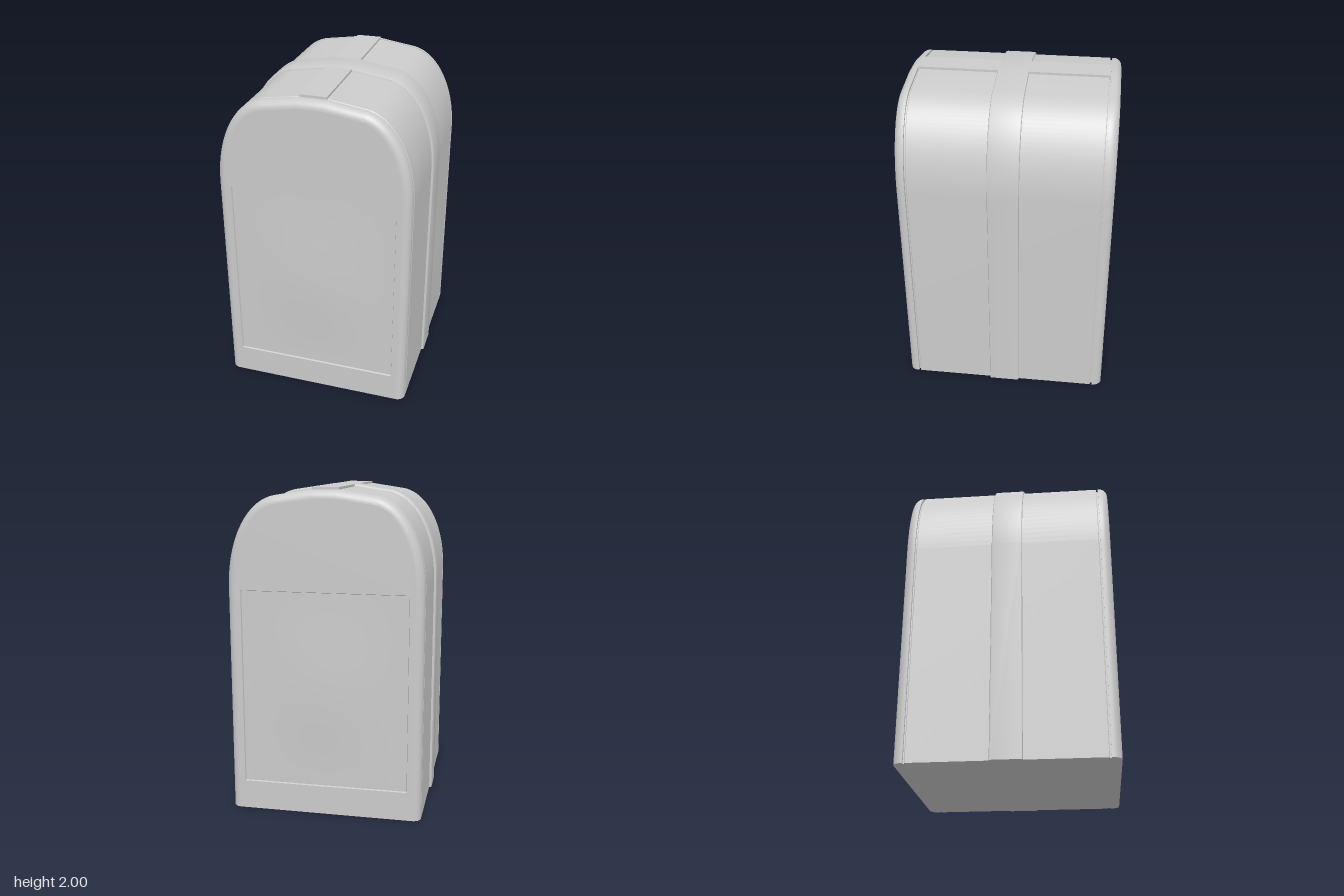
import * as THREE from 'three';
import { toCreasedNormals } from 'three/addons/utils/BufferGeometryUtils.js';

const material = new THREE.MeshStandardMaterial({ color: 0xcccccc });

// Half of the arched outline, from the base up to the flat crown
const half = new THREE.CurvePath();
half.add(new THREE.LineCurve(new THREE.Vector2(0.595, 0), new THREE.Vector2(0.595, 1.4)));
half.add(new THREE.CubicBezierCurve(
  new THREE.Vector2(0.595, 1.4), new THREE.Vector2(0.595, 1.71),
  new THREE.Vector2(0.46, 1.935), new THREE.Vector2(0.29, 1.953)));
half.add(new THREE.LineCurve(new THREE.Vector2(0.29, 1.953), new THREE.Vector2(0.08, 1.985)));

// Full outline, counter-clockwise, moved outwards by `offset`; the base stays at y = 0
function outline(offset) {
  const right = [];
  half.curves.forEach((curve, c) => {
    const n = c === 1 ? 24 : 1;
    for (let i = c ? 1 : 0; i <= n; i++) {
      const p = curve.getPoint(i / n);
      const t = curve.getTangent(i / n);
      right.push(new THREE.Vector2(p.x + t.y * offset, p.y - t.x * offset));
    }
  });
  const left = right.map((p) => new THREE.Vector2(-p.x, p.y)).reverse();
  return right.concat(left);
}

// Skin over arched sections given as [z, offset], z rising
function archLoft(sections, closeFront = true) {
  const pos = [], index = [];
  const n = outline(0).length;
  for (const [z, offset] of sections) {
    for (const p of outline(offset)) pos.push(p.x, p.y, z);
  }
  for (let i = 0; i < sections.length - 1; i++) {
    for (let j = 0; j < n; j++) {
      const a = i * n + j, b = i * n + (j + 1) % n;
      index.push(a, b, a + n, b, b + n, a + n);
    }
  }
  const last = (sections.length - 1) * n;
  for (let k = 1; k < n - 1; k++) {
    index.push(0, k + 1, k);
    if (closeFront) index.push(last, last + k, last + k + 1);
  }
  const g = new THREE.BufferGeometry();
  g.setAttribute('position', new THREE.Float32BufferAttribute(pos, 3));
  g.setIndex(index);
  return toCreasedNormals(g, 0.6);
}

function part(name, geometry) {
  const mesh = new THREE.Mesh(geometry, material);
  mesh.name = name;
  return mesh;
}

// Panel with a short wall round its edge and a soft bulge in the middle
function panelGeometry(w, h, depth, bulge) {
  const n = 26;
  const g = new THREE.PlaneGeometry(w, h, n, n);
  const p = g.attributes.position;
  const place = (i) => (i === 0 ? -1 : i === n ? 1 : THREE.MathUtils.mapLinear(i, 1, n - 1, -0.994, 0.994));
  for (let k = 0; k < p.count; k++) {
    const i = k % (n + 1), j = Math.floor(k / (n + 1));
    const u = place(i), v = -place(j);
    const rim = i === 0 || j === 0 || i === n || j === n;
    const dome = (Math.cos(u * Math.PI / 2) * Math.cos(v * Math.PI / 2)) ** 2;
    p.setXYZ(k, u * w / 2, v * h / 2, rim ? 0 : bulge * dome - depth);
  }
  return toCreasedNormals(g, 0.6);
}

// Rounded end shell with a framed panel, facing +z
function endShell() {
  const group = new THREE.Group();
  const z0 = 0.585, z1 = 0.645, r = 0.05;
  const sections = [[z0, 0]];
  for (let i = 0; i <= 8; i++) {
    const a = (i / 8) * Math.PI / 2;
    sections.push([z1 - r + r * Math.sin(a), r * Math.cos(a) - r]);
  }
  group.add(part('endRim', archLoft(sections, false)));

  const [x, y0, y1] = [0.51, 0.18, 1.39];
  const face = new THREE.Shape(outline(-r));
  face.holes.push(new THREE.Path([
    new THREE.Vector2(-x, y0), new THREE.Vector2(-x, y1),
    new THREE.Vector2(x, y1), new THREE.Vector2(x, y0)]));
  const faceMesh = part('endFace', new THREE.ShapeGeometry(face));
  faceMesh.position.z = z1;

  const panel = part('endPanel', panelGeometry(2 * x, y1 - y0, 0.01, 0.015));
  panel.position.set(0, (y0 + y1) / 2, z1);
  group.add(faceMesh, panel);
  return group;
}

export function createModel() {
  const model = new THREE.Group();
  model.name = 'archedContainer';

  // Main body, and the narrower core seen in the grooves
  model.add(part('body', archLoft([[-0.575, -0.004], [-0.571, 0], [0.571, 0], [0.575, -0.004]])));
  model.add(part('grooveCore', archLoft([[-0.59, -0.015], [0.59, -0.015]])));

  // Band over the middle with softened edges
  model.add(part('middleBand', archLoft([
    [-0.095, -0.005], [-0.095, 0.008], [-0.092, 0.013], [-0.086, 0.015],
    [0.086, 0.015], [0.092, 0.013], [0.095, 0.008], [0.095, -0.005]])));

  // Ridge strip along the crown
  const strip = part('ridgeStrip', new THREE.BoxGeometry(0.16, 0.04, 1.165));
  strip.position.y = 1.979;
  model.add(strip);

  // Matching front and back ends
  for (const [name, turn] of [['frontEnd', 0], ['backEnd', Math.PI]]) {
    const end = endShell();
    end.name = name;
    end.rotation.y = turn;
    model.add(end);
  }
  return model;
}
